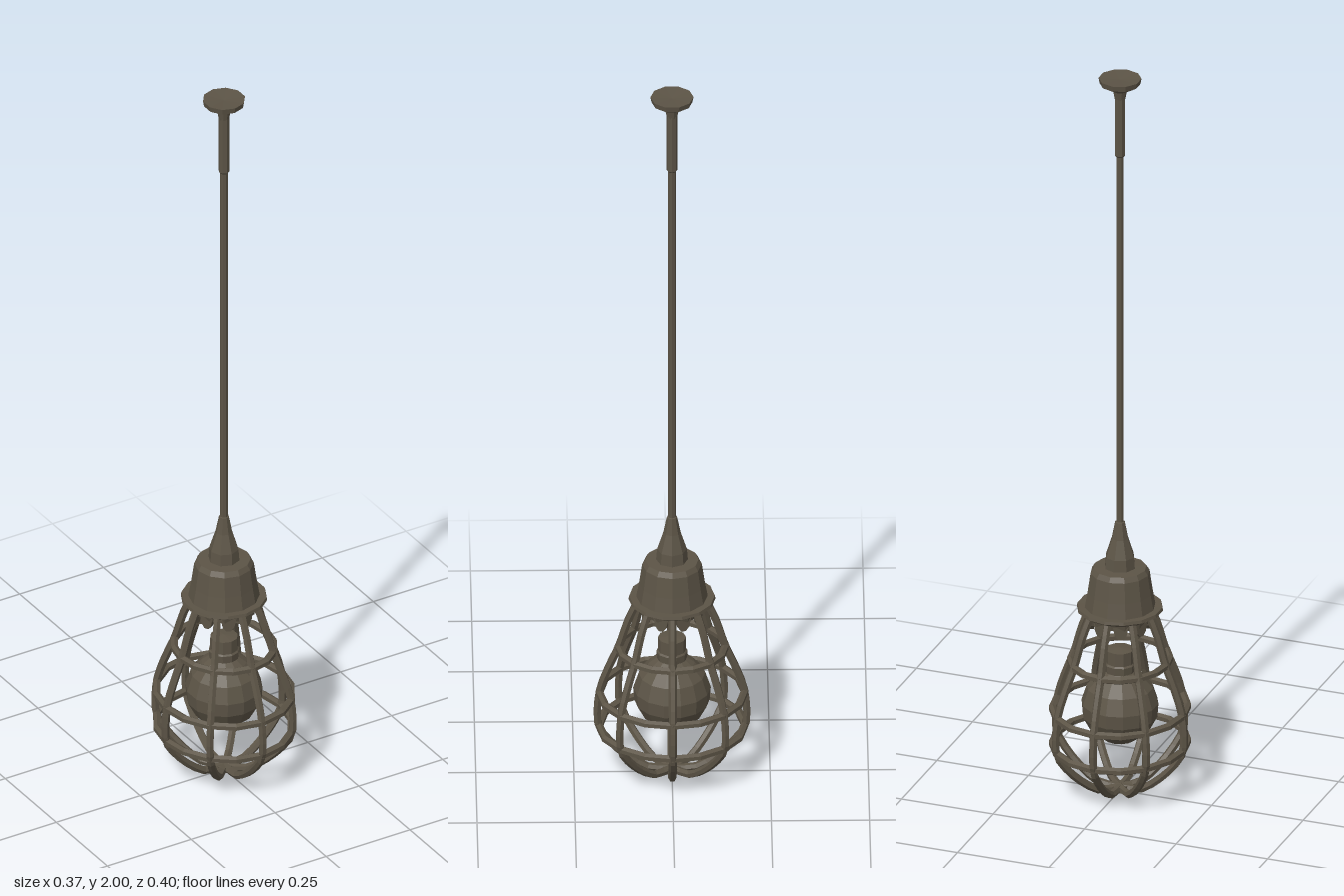
import * as THREE from 'three';

export function createModel() {
  const lamp = new THREE.Group();
  lamp.name = 'cagedPendantLamp';
  const metal = new THREE.MeshStandardMaterial({ color: 0x5c5446, flatShading: true, side: THREE.DoubleSide });
  metal.name = 'dark bronze';

  const add = (name, geometry, parent = lamp) => {
    const mesh = new THREE.Mesh(geometry, metal);
    mesh.name = name;
    parent.add(mesh);
    return mesh;
  };
  const lathe = (name, profile, sides) =>
    add(name, new THREE.LatheGeometry(profile.map(([r, y]) => new THREE.Vector2(r, y)), sides));

  // Ceiling mount, with a sleeve over the top of the rod
  lathe('ceilingMount', [[0, 1.94], [0.013, 1.94], [0.018, 1.965], [0.052, 1.985], [0.055, 2], [0, 1.996]], 10);
  lathe('rodSleeve', [[0.01, 1.78], [0.014, 1.785], [0.014, 1.95]], 8);
  lathe('rod', [[0.01, 0.73], [0.01, 1.96]], 8);

  // Tapered collar and bell housing with its flange
  lathe('collar', [[0.042, 0.61], [0.038, 0.66], [0.022, 0.71], [0.013, 0.755], [0, 0.76]], 8);
  lathe('housing', [[0.092, 0.515], [0.084, 0.56], [0.076, 0.615], [0.068, 0.628], [0, 0.63]], 12);
  lathe('flange', [[0, 0.5], [0.09, 0.5], [0.111, 0.513], [0.109, 0.521], [0.088, 0.52]], 14);

  // Short skirt with pointed tabs between the cage ribs
  lathe('skirt', [[0.083, 0.503], [0.078, 0.482], [0.07, 0.482], [0.07, 0.503]], 12);
  const tabShape = new THREE.Shape();
  [[-0.02, 0.035], [0.02, 0.035], [0.015, 0.012], [0.006, 0], [-0.006, 0], [-0.015, 0.012]]
    .forEach(([x, y], i) => (i ? tabShape.lineTo(x, y) : tabShape.moveTo(x, y)));
  const tabGeometry = new THREE.ExtrudeGeometry(tabShape, { depth: 0.01, bevelEnabled: false });
  for (let i = 0; i < 8; i++) {
    const a = (i + 0.5) * Math.PI / 4;
    const tab = add('skirtTab', tabGeometry);
    tab.position.set(Math.sin(a) * 0.067, 0.457, Math.cos(a) * 0.067);
    tab.rotation.y = a;
  }

  // Bulb with its neck
  lathe('bulb', [[0, 0.14], [0.04, 0.148], [0.076, 0.175], [0.096, 0.213], [0.099, 0.25],
    [0.085, 0.293], [0.058, 0.323], [0.038, 0.338]], 14);
  lathe('bulbNeck', [[0.038, 0.335], [0.04, 0.358], [0.036, 0.362], [0.036, 0.398], [0, 0.402]], 10);

  // Cage: eight ribs and three hoops, slightly deeper than wide
  const cage = new THREE.Group();
  cage.name = 'cage';
  lamp.add(cage);
  const point = (r, y, a) => new THREE.Vector3(Math.sin(a) * r, y, Math.cos(a) * r * 1.09);
  const ribProfile = [[0.08, 0.505], [0.102, 0.45], [0.125, 0.37], [0.15, 0.305], [0.17, 0.235],
    [0.171, 0.135], [0.14, 0.085], [0.095, 0.04], [0.055, 0.014], [0, 0.011]];
  for (let i = 0; i < 8; i++) {
    const path = new THREE.CatmullRomCurve3(ribProfile.map(([r, y]) => point(r, y, i * Math.PI / 4)), false, 'centripetal');
    add('cageRib', new THREE.TubeGeometry(path, 20, 0.0105, 6), cage);
  }
  for (const [r, y] of [[0.125, 0.37], [0.17, 0.235], [0.17, 0.137]]) {
    const points = Array.from({ length: 16 }, (_, i) => point(r, y, i * Math.PI / 8));
    const path = new THREE.CatmullRomCurve3(points, true);
    add('cageHoop', new THREE.TubeGeometry(path, 16, 0.0105, 6, true), cage);
  }
  const hub = add('cageHub', new THREE.CylinderGeometry(0.026, 0.022, 0.018, 8), cage);
  hub.position.y = 0.009;

  return lamp;
}
